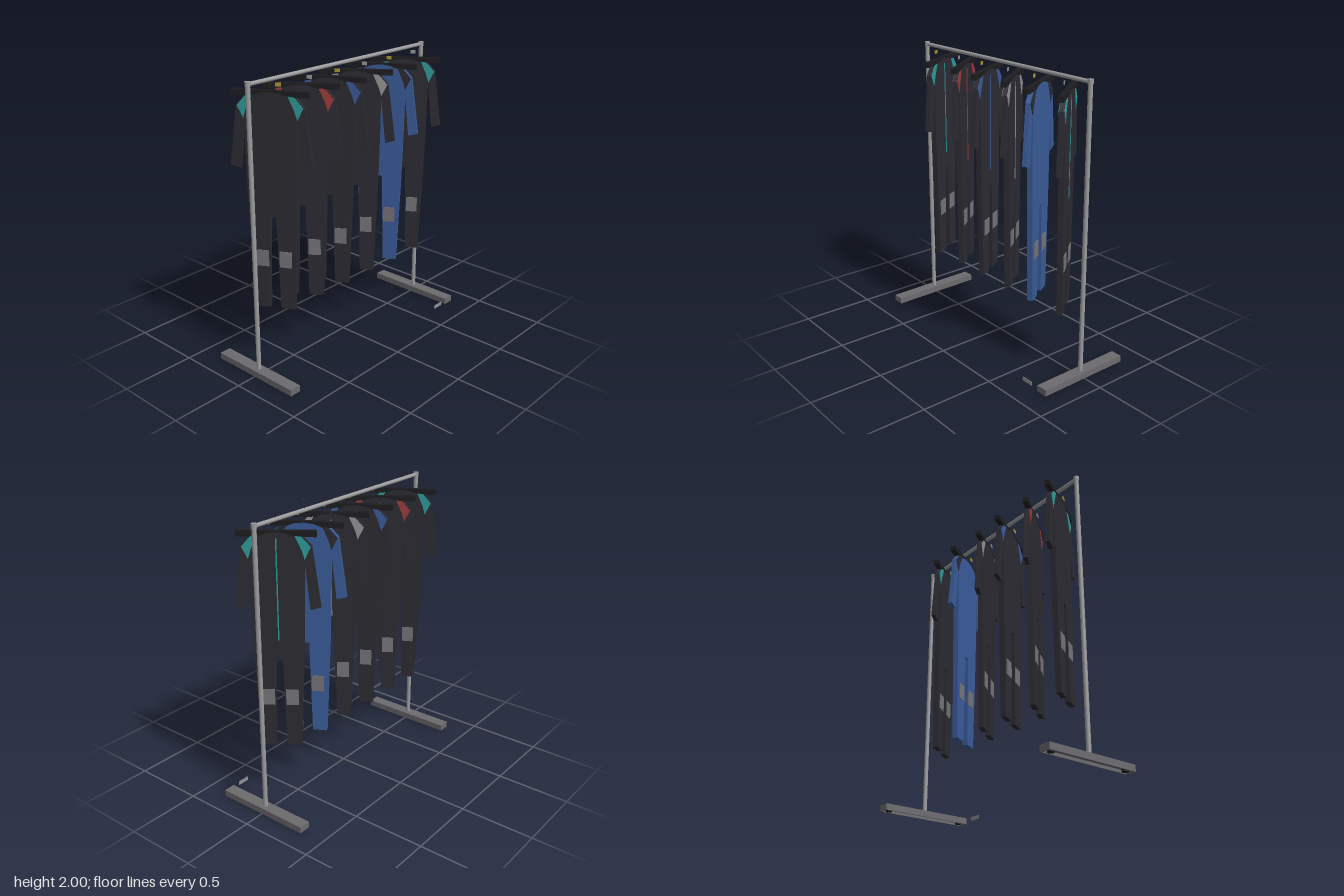
import * as THREE from 'three';

const mat = (name, color) => {
  const m = new THREE.MeshStandardMaterial({ color });
  m.name = name;
  return m;
};

export function createModel() {
  const M = {
    metal: mat('tube metal', 0x9c9c9e),
    foot: mat('foot grey', 0x6c6a6e),
    charcoal: mat('charcoal fabric', 0x2b2b32),
    black: mat('hanger black', 0x1d1d20),
    blue: mat('blue fabric', 0x3a5c9a),
    teal: mat('teal accent', 0x2f9a9a),
    red: mat('red accent', 0x9c3a3c),
    grey: mat('light grey', 0x939397),
    patch: mat('knee patch grey', 0x74747a),
    gold: mat('gold tag', 0xb09a30),
  };
  const root = new THREE.Group();
  root.name = 'garmentRack';

  const add = (parent, name, geo, material, x = 0, y = 0, z = 0) => {
    const mesh = new THREE.Mesh(geo, material);
    mesh.name = name;
    mesh.position.set(x, y, z);
    parent.add(mesh);
    return mesh;
  };
  const box = (parent, name, size, pos, material) =>
    add(parent, name, new THREE.BoxGeometry(...size), material, ...pos);

  // Flat panel cut from an outline, centred on its thickness
  const panel = (parent, name, points, depth, material) => {
    const shape = new THREE.Shape(points.map(([x, y]) => new THREE.Vector2(x, y)));
    const geo = new THREE.ExtrudeGeometry(shape, { depth, bevelEnabled: false });
    geo.translate(0, 0, -depth / 2);
    return add(parent, name, geo, material);
  };
  const mirror = (points, side) => points.map(([x, y]) => [x * side, y]);

  // Frame: posts with caps, hollow feet with pads, top rail
  for (const side of [-1, 1]) {
    const x = side * 0.82;
    add(root, 'post', new THREE.CylinderGeometry(0.015, 0.015, 1.91, 16), M.metal, x, 0.985, 0);
    add(root, 'postCap', new THREE.CylinderGeometry(0.018, 0.018, 0.03, 16), M.metal, x, 1.932, 0);
    box(root, 'footTop', [0.08, 0.024, 0.67], [x, 0.031, 0], M.foot);
    for (const s of [-1, 1]) {
      box(root, 'footSide', [0.01, 0.043, 0.67], [x + s * 0.035, 0.0215, 0], M.foot);
      box(root, 'footEnd', [0.08, 0.043, 0.01], [x, 0.0215, s * 0.33], M.foot);
      add(root, 'footPad', new THREE.CylinderGeometry(0.022, 0.022, 0.02, 16), M.black, x, 0.01, s * 0.29);
    }
  }
  const rail = add(root, 'rail', new THREE.CylinderGeometry(0.013, 0.013, 1.64, 16), M.metal, 0, 1.93, 0);
  rail.rotation.z = Math.PI / 2;

  // Small plate beside the foot
  box(root, 'floorPlate', [0.085, 0.026, 0.004], [0.685, 0.028, 0.336], M.grey);

  // Suit outlines, right half
  const bodyHalf = [
    [0.02, 1.065], [0.036, 0.43], [0.13, 0.43], [0.154, 1.06], [0.162, 1.4],
    [0.166, 1.7], [0.112, 1.83], [0.06, 1.85],
  ];
  const bodyOutline = [...bodyHalf, [0, 1.857], ...mirror(bodyHalf, -1).reverse()];
  const sleeve = [[0.112, 1.84], [0.155, 1.832], [0.212, 1.77], [0.262, 1.388], [0.198, 1.37], [0.164, 1.7]];
  const shoulder = [[0.112, 1.836], [0.15, 1.832], [0.206, 1.768], [0.168, 1.69], [0.15, 1.75]];

  const makeSuit = (fabric, accent, zip, tag) => {
    const suit = new THREE.Group();
    panel(suit, 'suitBody', bodyOutline, 0.036, fabric);
    for (const side of [-1, 1]) {
      panel(suit, 'sleeve', mirror(sleeve, side), 0.03, fabric);
      panel(suit, 'shoulderPanel', mirror(shoulder, side), 0.038, accent);
      for (const face of [-1, 1]) {
        box(suit, 'kneePatch', [0.08, 0.11, 0.006], [side * 0.075, 0.777, face * 0.019], M.patch);
      }
    }
    if (zip) box(suit, 'zip', [0.008, 0.65, 0.005], [0, 1.495, -0.019], accent);

    // Hanger bar and size tag
    box(suit, 'hangerBar', [0.48, 0.035, 0.035], [0, 1.847, 0], M.black);
    box(suit, 'sizeTag', [0.034, 0.022, 0.005], [0.055, 1.905, 0.017], tag);
    return suit;
  };

  const hookCurve = new THREE.CatmullRomCurve3([
    [0, 1.935, -0.004], [0, 1.965, -0.004], [0, 1.987, 0], [0, 1.998, 0.007],
  ].map((p) => new THREE.Vector3(...p)));

  // Row of suits: fabric and accent, hung at alternating angles
  const suits = [
    [M.charcoal, M.teal], [M.charcoal, M.red], [M.charcoal, M.blue],
    [M.charcoal, M.grey], [M.blue, M.charcoal], [M.charcoal, M.teal],
  ];
  suits.forEach(([fabric, accent], i) => {
    const odd = i % 2 === 1;
    const x = -0.645 + i * 0.257;
    const suit = makeSuit(fabric, accent, accent !== M.charcoal, odd ? M.grey : M.gold);
    suit.name = 'suit' + (i + 1);
    suit.position.x = x;
    suit.rotation.y = odd ? -0.94 : -1.06;
    root.add(suit);
    add(root, 'hook', new THREE.TubeGeometry(hookCurve, 10, 0.002, 6), M.black, x, 0, 0);
  });

  return root;
}
